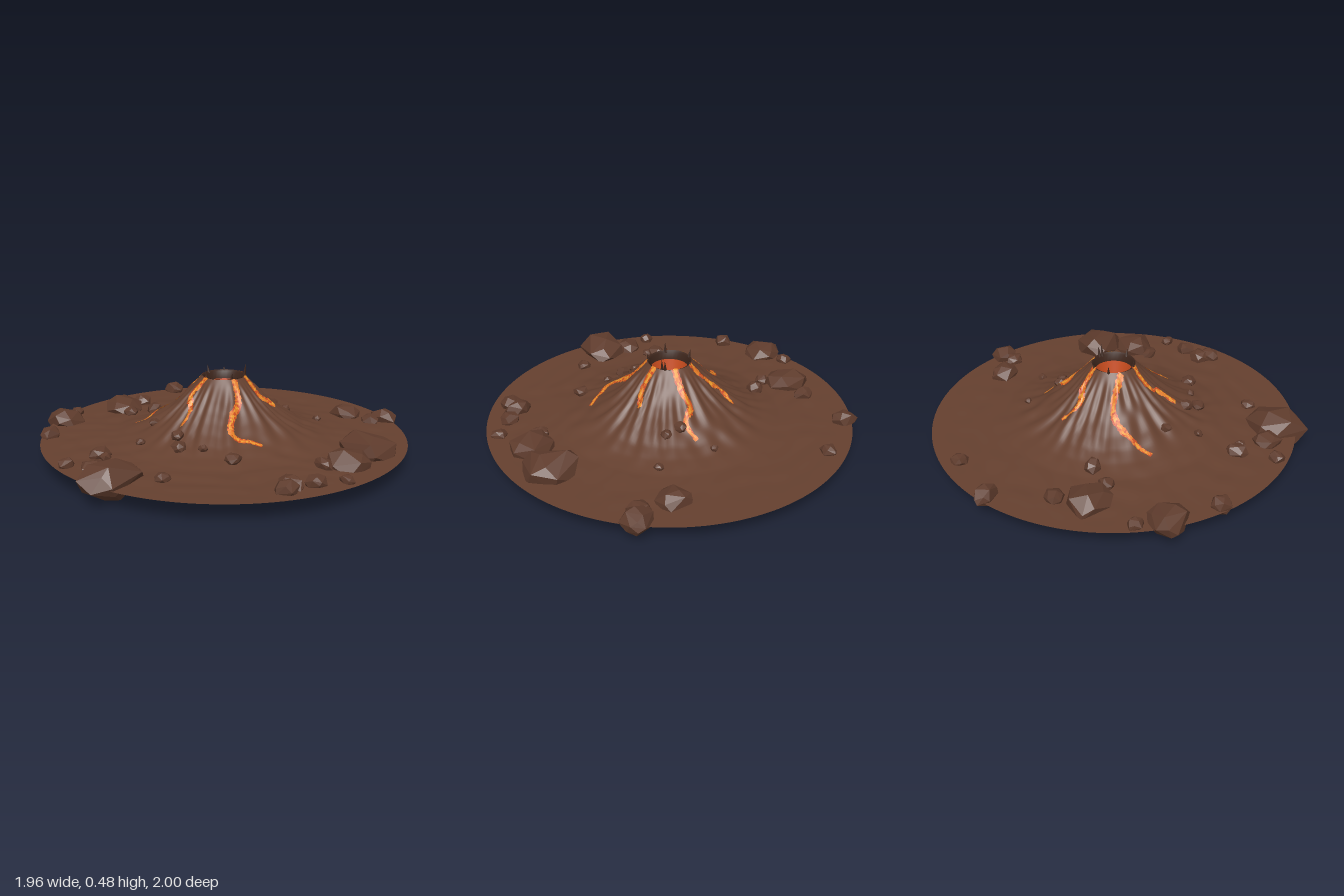
import * as THREE from 'three';
import { ConvexGeometry } from 'three/addons/geometries/ConvexGeometry.js';

const CZ = -0.02, RIM = 0.115, EDGE = 0.98;

function makeRandom(seed) {
  let s = seed;
  return () => {
    s = (s * 1664525 + 1013904223) % 4294967296;
    return s / 4294967296;
  };
}

// Slope from the crater rim down to the plain: radius, height
const PROFILE = [[0.115, 0.43], [0.15, 0.39], [0.2, 0.335], [0.25, 0.285], [0.3, 0.243], [0.36, 0.2],
  [0.43, 0.16], [0.5, 0.132], [0.6, 0.11], [0.75, 0.102], [0.99, 0.1]];

function slope(r) {
  for (let i = 1; i < PROFILE.length; i++) {
    const [r0, y0] = PROFILE[i - 1], [r1, y1] = PROFILE[i];
    if (r <= r1) return y0 + (y1 - y0) * Math.max(0, (r - r0) / (r1 - r0));
  }
  return 0.1;
}

// Ground height: slope, radial gullies and gentle ripples
function groundHeight(x, z) {
  const dx = x, dz = z - CZ, r = Math.hypot(dx, dz), a = Math.atan2(dz, dx);
  const ss = THREE.MathUtils.smoothstep;
  const gully = ss(r, 0.115, 0.22) * (1 - ss(r, 0.3, 0.62));
  const ridges = 0.5 * Math.sin(17 * a + 2 * Math.sin(9 * r + 2 * a))
    + 0.5 * Math.sin(29 * a + 3 * Math.sin(7 * r + 3 * a)) + 0.4 * Math.sin(7 * a + 8 * r);
  const ripple = Math.sin(15 * x + 3 * Math.sin(9 * z)) * Math.sin(17 * z + 2 * Math.sin(11 * x))
    + 0.5 * Math.sin(37 * x + 20 * z + 2 * Math.sin(13 * z));
  return slope(r) + 0.011 * gully * ridges + 0.0025 * ss(r, 0.2, 0.4) * (1 - ss(r, 0.8, 0.97)) * ripple;
}

function groundGeometry() {
  const rings = 70, sides = 200, pos = [], index = [];
  for (let i = 0; i <= rings; i++) {
    const r = RIM + (EDGE - RIM) * Math.pow(i / rings, 1.3);
    for (let j = 0; j < sides; j++) {
      const a = (j / sides) * Math.PI * 2;
      const x = r * Math.cos(a), z = CZ + r * Math.sin(a);
      pos.push(x, groundHeight(x, z), z);
      if (i < rings) {
        const n = (j + 1) % sides, p = i * sides;
        index.push(p + j, p + n, p + sides + j, p + n, p + sides + n, p + sides + j);
      }
    }
  }
  const g = new THREE.BufferGeometry();
  g.setAttribute('position', new THREE.Float32BufferAttribute(pos, 3));
  g.setIndex(index);
  g.computeVertexNormals();
  return g;
}

// Faceted boulder: hull of jittered points spread over a squashed ball
function rockGeometry(rx, ry, rz, seed) {
  const rand = makeRandom(seed * 7919 + 13), points = [], count = 20;
  for (let i = 0; i < count; i++) {
    const h = 1 - (2 * (i + 0.5)) / count, a = i * 2.39996 + rand() * 0.9 + seed;
    const w = Math.sqrt(1 - h * h), k = 0.9 + 0.22 * rand();
    points.push(new THREE.Vector3(rx * k * w * Math.cos(a), ry * k * h, rz * k * w * Math.sin(a)));
  }
  return new ConvexGeometry(points);
}

// Boulders: x, z, radius along x, radius along z, radius along y
const ROCKS = [
  [0.35, -0.9, 0.08, 0.075, 0.06], [0.33, -0.82, 0.06, 0.05, 0.04], [0.16, -0.79, 0.09, 0.08, 0.06],
  [-0.7, -0.565, 0.045, 0.045, 0.035], [-0.895, -0.3, 0.075, 0.055, 0.05], [0.69, -0.42, 0.155, 0.13, 0.1],
  [0.755, -0.2, 0.12, 0.115, 0.085], [0.71, -0.085, 0.06, 0.035, 0.04], [0.915, -0.04, 0.042, 0.035, 0.03],
  [0.85, 0.1, 0.05, 0.06, 0.045], [0.8, 0.21, 0.07, 0.06, 0.05], [0.83, 0.26, 0.06, 0.06, 0.05],
  [0.44, 0.26, 0.045, 0.045, 0.03], [-0.78, 0.005, 0.055, 0.055, 0.045], [-0.745, 0.17, 0.14, 0.11, 0.07],
  [-0.6, 0.2, 0.04, 0.045, 0.035], [-0.52, 0.09, 0.045, 0.045, 0.05], [-0.815, 0.435, 0.045, 0.04, 0.035],
  [-0.72, 0.56, 0.115, 0.1, 0.065],
];
const SMALL_ROCKS = [
  [-0.525, 0.75, 0.05, 0.055, 0.05], [-0.085, 0.7, 0.05, 0.06, 0.04], [-0.025, 0.7, 0.03, 0.03, 0.025],
  [-0.06, 0.9, 0.04, 0.045, 0.035], [0.07, 0.82, 0.065, 0.075, 0.05], [0.375, 0.63, 0.04, 0.04, 0.03],
  [-0.05, 0.48, 0.025, 0.025, 0.02], [-0.14, 0.335, 0.03, 0.03, 0.022], [0.11, 0.36, 0.035, 0.035, 0.028],
  [0.18, 0.4, 0.042, 0.04, 0.03], [0.28, 0.325, 0.025, 0.025, 0.02], [0.175, -0.545, 0.028, 0.025, 0.02],
  [-0.125, -0.48, 0.022, 0.02, 0.018], [0.02, -0.35, 0.035, 0.035, 0.028], [0.095, -0.375, 0.03, 0.03, 0.024],
  [0.235, 0.825, 0.13, 0.165, 0.095],
];

// Lava streams as x, z points running downhill
const STREAMS = [
  [[0, -0.13], [-0.02, -0.22], [-0.05, -0.28], [-0.01, -0.34], [-0.05, -0.42]],
  [[-0.09, -0.09], [-0.17, -0.12], [-0.24, -0.11], [-0.31, -0.18]],
  [[0.095, -0.085], [0.17, -0.13], [0.2, -0.21]],
  [[0.115, 0], [0.2, 0.04], [0.24, 0.11], [0.31, 0.165], [0.42, 0.06]],
  [[0, 0.095], [-0.02, 0.18], [0.04, 0.23], [0.07, 0.31]],
  [[-0.09, 0.06], [-0.24, 0.08], [-0.3, 0.17], [-0.335, 0.33]],
];

// Ribbon laid on the ground, its cells shared out between ember, glow and bright lava
function addStream(group, points, materials, seed) {
  const rand = makeRandom(seed * 131 + 7), columns = 4;
  const curve = new THREE.CatmullRomCurve3(points.map(([x, z]) => new THREE.Vector3(x, 0, z)));
  const steps = Math.round(curve.getLength() / 0.009), rows = [], cells = [[], [], []];
  for (let i = 0; i <= steps; i++) {
    const p = curve.getPointAt(i / steps), t = curve.getTangentAt(i / steps), row = [];
    const half = (0.013 + 0.008 * rand()) * (1 - 0.45 * (i / steps) ** 3);
    for (let j = 0; j <= columns; j++) {
      const o = half * ((2 * j) / columns - 1);
      const x = p.x - t.z * o, z = p.z + t.x * o;
      row.push([x, groundHeight(x, z) + 0.005, z]);
    }
    rows.push(row);
  }
  for (let i = 0; i < steps; i++) {
    for (let j = 0; j < columns; j++) {
      const edge = j === 0 || j === columns - 1, k = rand();
      const tone = edge ? (k < 0.5 ? 0 : 1) : (k < 0.12 ? 0 : k < 0.55 ? 1 : 2);
      const a = rows[i][j], b = rows[i][j + 1], c = rows[i + 1][j], d = rows[i + 1][j + 1];
      cells[tone].push(...a, ...b, ...c, ...b, ...d, ...c);
    }
  }
  cells.forEach((pos, i) => {
    const g = new THREE.BufferGeometry();
    g.setAttribute('position', new THREE.Float32BufferAttribute(pos, 3));
    g.computeVertexNormals();
    const mesh = new THREE.Mesh(g, materials[i]);
    mesh.name = 'lavaStream';
    group.add(mesh);
  });
}

export function createModel() {
  const model = new THREE.Group();
  model.name = 'volcano';
  const material = (name, color) => {
    const m = new THREE.MeshStandardMaterial({ color, side: THREE.DoubleSide });
    m.name = name;
    return m;
  };
  const earth = material('earth', 0x65402f);
  const stone = material('stone', 0x5e3b2c);
  const char = material('char', 0x3e261c);
  const ember = material('ember', 0xc84c1e);
  const glow = material('glow', 0xe07a24);
  const bright = material('bright lava', 0xf0a030);
  const add = (name, geometry, mat, x = 0, y = 0, z = 0, parent = model) => {
    const mesh = new THREE.Mesh(geometry, mat);
    mesh.name = name;
    mesh.position.set(x, y, z);
    parent.add(mesh);
    return mesh;
  };

  // Cone and surrounding plain
  add('ground', groundGeometry(), earth);

  // Crater: charred lip, glowing wall, floor and molten pool
  const ring = (points) => new THREE.LatheGeometry(points.map(([r, y]) => new THREE.Vector2(r, y)), 32);
  add('craterLip', ring([[0.1, 0.385], [0.105, 0.425], [0.116, 0.432]]), char, 0, 0, CZ);
  add('craterWall', ring([[0.078, 0.29], [0.1, 0.385]]), ember, 0, 0, CZ);
  add('craterFloor', ring([[0.057, 0.29], [0.078, 0.29]]), glow, 0, 0, CZ);
  add('lavaPool', new THREE.CircleGeometry(0.058, 24).rotateX(-Math.PI / 2), bright, 0, 0.29, CZ);

  // Thin spikes leaning out from the rim: x, z, height
  const spikes = [[-0.11, 0, 0.05], [-0.003, 0.09, 0.06], [0.105, 0.01, 0.045], [0.045, -0.12, 0.065],
    [0.058, -0.11, 0.07], [-0.09, -0.09, 0.03]];
  for (const [x, z, h] of spikes) {
    const spike = add('rimSpike', new THREE.ConeGeometry(0.01, h, 5).translate(0, h / 2, 0), char, x, 0.42, z);
    spike.rotation.set((z - CZ) * 1.5, 0, -x * 1.5);
  }

  // Lava running down the slopes
  const lava = new THREE.Group();
  lava.name = 'lavaStreams';
  model.add(lava);
  STREAMS.forEach((points, i) => addStream(lava, points, [ember, glow, bright], i + 1));

  // Boulders half sunk into the ground
  const rocks = new THREE.Group();
  rocks.name = 'rocks';
  model.add(rocks);
  [...ROCKS, ...SMALL_ROCKS].forEach(([x, z, rx, rz, ry], i) => {
    add('rock', rockGeometry(rx, ry, rz, i + 1), stone, x, groundHeight(x, z) + 0.008, z, rocks);
  });
  return model;
}
